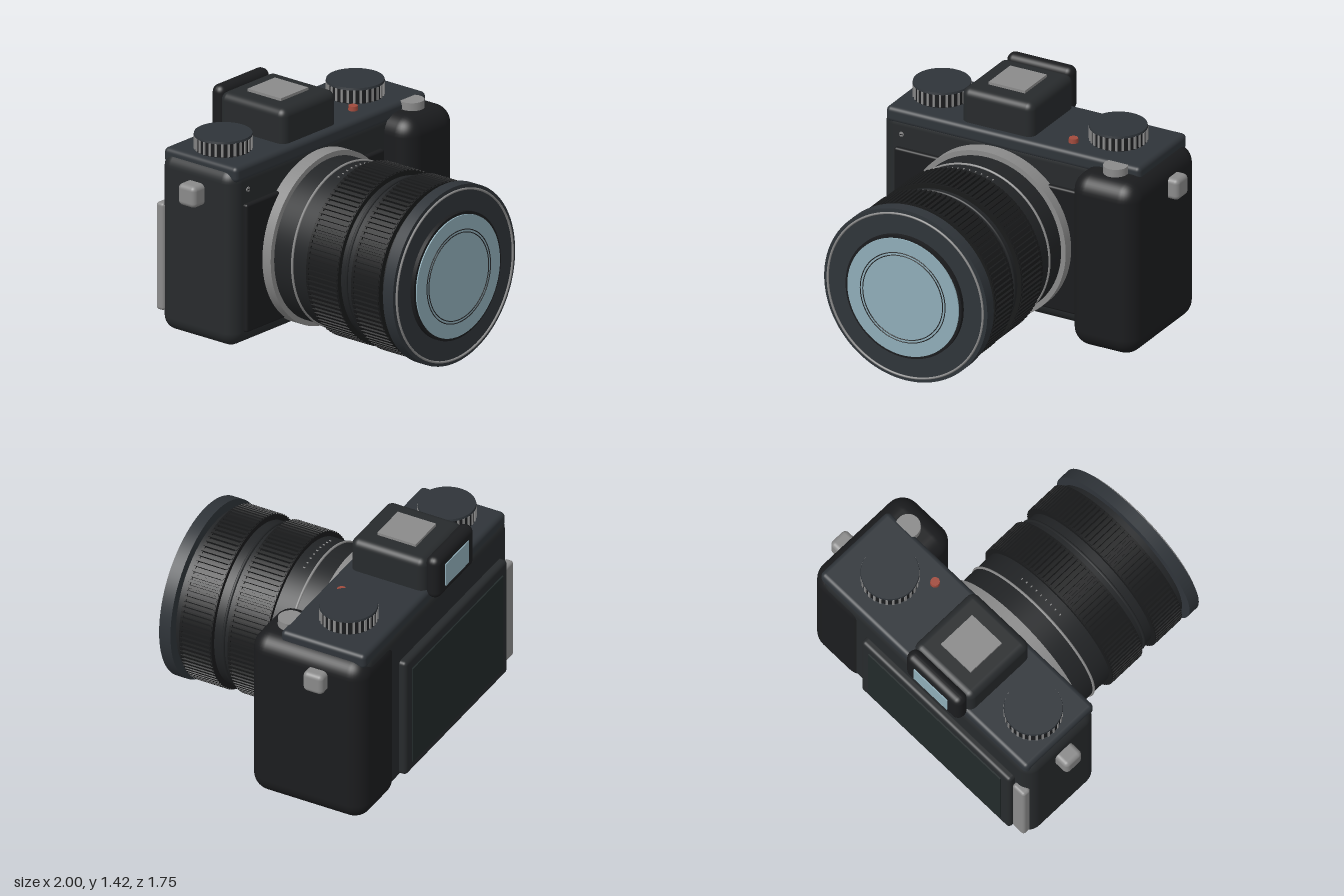
import * as THREE from 'three';
import { RoundedBoxGeometry } from 'three/addons/geometries/RoundedBoxGeometry.js';

const mat = (color) => new THREE.MeshStandardMaterial({ color });
const M = {
  plate: mat(0x2f3439), body: mat(0x272a2c), black: mat(0x1b1c1e), rubber: mat(0x191a1b),
  barrel: mat(0x222426), metal: mat(0x8a8a8a), glass: mat(0x8fadb8), screen: mat(0x222a2a), red: mat(0xa04a3c),
};

function add(parent, name, geometry, material, x = 0, y = 0, z = 0) {
  const mesh = new THREE.Mesh(geometry, material);
  mesh.name = name;
  mesh.position.set(x, y, z);
  parent.add(mesh);
  return mesh;
}

// Rounded box given by its extents on each axis
function block(parent, name, material, [x0, x1], [y0, y1], [z0, z1], radius) {
  const geo = new RoundedBoxGeometry(x1 - x0, y1 - y0, z1 - z0, 5, radius);
  return add(parent, name, geo, material, (x0 + x1) / 2, (y0 + y1) / 2, (z0 + z1) / 2);
}

// Cylinder along z between two depths
function drum(parent, name, material, radius, z0, z1, x = 0, y = 0) {
  const geo = new THREE.CylinderGeometry(radius, radius, z1 - z0, 96).rotateX(Math.PI / 2);
  return add(parent, name, geo, material, x, y, (z0 + z1) / 2);
}

const hoop = (parent, name, material, radius, tube, z) =>
  add(parent, name, new THREE.TorusGeometry(radius, tube, 8, 96), material, 0, 0, z);

// Ribbed ring: toothed outline extruded along z
function ribbedRing(parent, name, radius, z0, z1, teeth) {
  const shape = new THREE.Shape();
  const depth = 0.016;
  for (let i = 0; i < teeth; i++) {
    [[0, radius - depth], [0.4, radius - depth], [0.45, radius], [0.95, radius]].forEach(([f, r], k) => {
      const a = ((i + f) / teeth) * Math.PI * 2;
      shape[i || k ? 'lineTo' : 'moveTo'](r * Math.cos(a), r * Math.sin(a));
    });
  }
  shape.closePath();
  const hole = new THREE.Path();
  hole.absarc(0, 0, 0.49, 0, Math.PI * 2, true);
  shape.holes.push(hole);
  const geo = new THREE.ExtrudeGeometry(shape, { depth: z1 - z0, bevelEnabled: false, curveSegments: 48 });
  add(parent, name, geo, M.rubber, 0, 0, z0);
  // Plain lips at both ends
  drum(parent, name + 'RearLip', M.rubber, radius - 0.006, z0 - 0.004, z0 + 0.012);
  drum(parent, name + 'FrontLip', M.rubber, radius - 0.006, z1 - 0.012, z1 + 0.004);
}

// Control dial with ribs around its side
function dial(parent, name, x, z) {
  const g = new THREE.Group();
  g.name = name;
  g.position.set(x, 1.18, z);
  add(g, 'dialCore', new THREE.CylinderGeometry(0.17, 0.17, 0.1, 48), M.black, 0, 0.05, 0);
  add(g, 'dialCap', new THREE.CylinderGeometry(0.173, 0.176, 0.014, 48), M.plate, 0, 0.103, 0);
  const count = 28;
  for (let i = 0; i < count; i++) {
    const a = (i / count) * Math.PI * 2;
    const rib = add(g, 'dialRib', new THREE.BoxGeometry(0.014, 0.08, 0.012), M.metal,
      0.171 * Math.sin(a), 0.055, 0.171 * Math.cos(a));
    rib.rotation.y = a;
  }
  parent.add(g);
}

function buildBody() {
  const g = new THREE.Group();
  g.name = 'body';
  block(g, 'bodyShell', M.body, [-0.905, 0.87], [0.045, 1.17], [-0.81, -0.232], 0.09);
  block(g, 'frontCovering', M.black, [-0.805, 0.455], [0.135, 0.945], [-0.26, -0.205], 0.015);
  block(g, 'topPlate', M.plate, [-0.875, 0.865], [1.09, 1.19], [-0.8, -0.228], 0.03);
  block(g, 'handGrip', M.black, [0.48, 0.93], [0.012, 1.14], [-0.822, -0.04], 0.115);

  // Strap lugs, one on each side
  for (const [x0, x1] of [[-1, -0.88], [0.9, 1]])
    block(g, 'strapLug', M.metal, [x0, x1], [0.912, 1.048], [-0.585, -0.45], 0.03);

  // Small screw on the front
  drum(g, 'frontScrew', M.metal, 0.015, -0.24, -0.226, -0.765, 1.03);
  add(g, 'screwSlot', new THREE.BoxGeometry(0.024, 0.004, 0.004), M.black, -0.765, 1.03, -0.225);

  // Rear screen and thumb bar
  block(g, 'screenFrame', M.body, [-0.79, 0.46], [0.105, 0.915], [-0.858, -0.79], 0.025);
  add(g, 'screenGlass', new THREE.BoxGeometry(1.11, 0.67, 0.02), M.screen, -0.165, 0.505, -0.857);
  block(g, 'thumbBar', M.metal, [-0.895, -0.795], [0.16, 0.84], [-0.842, -0.78], 0.02);
  return g;
}

function buildTopControls() {
  const g = new THREE.Group();
  g.name = 'topControls';
  dial(g, 'rightDial', -0.653, -0.52);
  dial(g, 'leftDial', 0.553, -0.52);
  add(g, 'shutterButton', new THREE.CylinderGeometry(0.075, 0.077, 0.07, 40), M.metal, 0.71, 1.153, -0.213);
  add(g, 'recordButton', new THREE.CylinderGeometry(0.028, 0.03, 0.03, 24), M.red, 0.34, 1.203, -0.355);

  // Viewfinder housing, accessory shoe and eyecup
  block(g, 'viewfinderHousing', M.body, [-0.387, 0.102], [1.12, 1.405], [-0.785, -0.275], 0.05);
  add(g, 'accessoryShoe', new THREE.BoxGeometry(0.25, 0.04, 0.26), M.metal, -0.142, 1.402, -0.53);
  block(g, 'eyecup', M.black, [-0.37, 0.085], [1.14, 1.428], [-0.868, -0.772], 0.045);
  add(g, 'eyepieceGlass', new THREE.BoxGeometry(0.28, 0.155, 0.02), M.glass, -0.142, 1.283, -0.865);
  return g;
}

function buildLens() {
  const g = new THREE.Group();
  g.name = 'lens';
  g.position.set(-0.127, 0.562, 0);
  drum(g, 'mountRing', M.metal, 0.537, -0.24, -0.14);
  drum(g, 'barrel', M.barrel, 0.505, -0.2, 0.745);
  hoop(g, 'metalBand', M.metal, 0.507, 0.008, 0.003);
  hoop(g, 'darkBand', M.barrel, 0.507, 0.01, 0.425);
  ribbedRing(g, 'zoomRing', 0.54, 0.137, 0.378, 100);
  ribbedRing(g, 'focusRing', 0.545, 0.492, 0.703, 100);
  drum(g, 'frontNeck', M.barrel, 0.49, 0.74, 0.765);
  drum(g, 'frontFlange', M.plate, 0.558, 0.755, 0.832);
  hoop(g, 'frontTrim', M.metal, 0.53, 0.007, 0.838);
  drum(g, 'glassSurround', M.black, 0.397, 0.82, 0.858);
  drum(g, 'frontGlass', M.glass, 0.38, 0.85, 0.866);
  for (const r of [0.29, 0.273]) hoop(g, 'glassRing', M.barrel, r, 0.003, 0.869);

  // Distance marks along the top of the barrel
  for (let i = -4; i <= 4; i++) {
    const a = i * 0.08;
    const mark = add(g, 'distanceMark', new THREE.BoxGeometry(0.006, 0.01, 0.012), M.metal,
      0.505 * Math.sin(a), 0.505 * Math.cos(a), 0.068);
    mark.rotation.z = -a;
  }
  return g;
}

export function createModel() {
  const model = new THREE.Group();
  model.name = 'camera';
  model.add(buildBody(), buildTopControls(), buildLens());
  return model;
}
